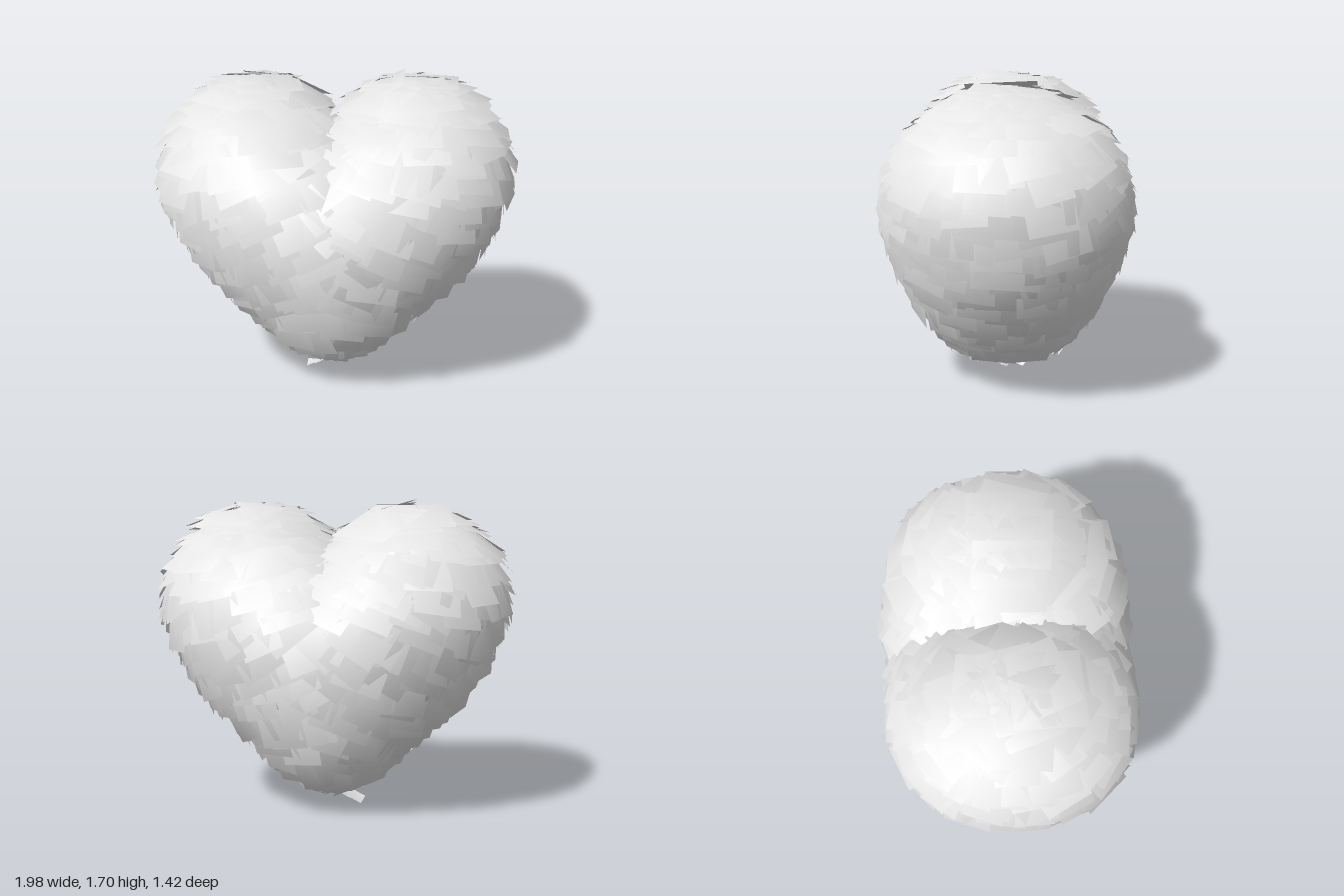
import * as THREE from 'three';
import { ParametricGeometry } from 'three/addons/geometries/ParametricGeometry.js';

// Horizontal sections of one lobe, top to bottom: outer x, inner x, y, half depth
const SECTIONS = [
  [0.41, 0.41, 1.645, 0], [0.58, 0.26, 1.615, 0.18], [0.74, 0.12, 1.53, 0.35],
  [0.86, -0.05, 1.38, 0.5], [0.915, -0.26, 1.2, 0.59], [0.885, -0.46, 1.0, 0.625],
  [0.8, -0.62, 0.8, 0.605], [0.655, -0.62, 0.6, 0.545], [0.45, -0.45, 0.4, 0.45],
  [0.25, -0.25, 0.23, 0.31], [0.11, -0.11, 0.145, 0.17], [0, 0, 0.11, 0],
];
const outerCurve = new THREE.CatmullRomCurve3(SECTIONS.map(s => new THREE.Vector3(s[0], s[2], s[3])));
const innerCurve = new THREE.CatmullRomCurve3(SECTIONS.map(s => new THREE.Vector3(s[1], s[2], s[3])));

// Slightly squared circle
const POWER = 0.92;
const squared = v => Math.sign(v) * Math.abs(v) ** POWER;

function sectionAt(t) {
  const o = outerCurve.getPoint(t), i = innerCurve.getPoint(t);
  const mid = (o.x + i.x) / 2, half = (o.x - i.x) / 2;
  // Angle at which the section meets the other lobe at x = 0
  const limit = i.x >= 0 ? Math.PI : Math.acos(-(Math.min(1, Math.max(0, mid / half)) ** (1 / POWER)));
  return { mid, half, y: o.y, depth: o.z, limit };
}

// Point on the lobe: a = angle around from the outer side, t = top to bottom (0..1)
function lobePoint(a, t, target = new THREE.Vector3()) {
  const s = sectionAt(t);
  return target.set(s.mid + s.half * squared(Math.cos(a)), s.y, s.depth * squared(Math.sin(a)));
}

function seeded(seed) {
  return () => {
    seed = (seed * 1664525 + 1013904223) % 4294967296;
    return seed / 4294967296;
  };
}

// Collects flat cards with softly rounded normals
class CardSet {
  positions = [];
  normals = [];

  add(center, normal, down, width, height, tilt, spin) {
    const d = down.clone().applyAxisAngle(normal, spin);
    const side = new THREE.Vector3().crossVectors(d, normal).normalize();
    const slope = d.addScaledVector(normal, tilt).normalize();
    const face = new THREE.Vector3().crossVectors(side, slope);
    const corners = [[-1, -1], [1, -1], [1, 1], [-1, 1]].map(([u, v]) => {
      const offset = side.clone().multiplyScalar(u * width / 2).addScaledVector(slope, v * height / 2);
      return {
        p: center.clone().add(offset),
        n: face.clone().addScaledVector(offset, 1.3).normalize(),
      };
    });
    for (const k of [0, 1, 2, 0, 2, 3]) {
      this.positions.push(...corners[k].p.toArray());
      this.normals.push(...corners[k].n.toArray());
    }
  }

  toGeometry() {
    const g = new THREE.BufferGeometry();
    g.setAttribute('position', new THREE.Float32BufferAttribute(this.positions, 3));
    g.setAttribute('normal', new THREE.Float32BufferAttribute(this.normals, 3));
    return g;
  }
}

// Overlapping rows of cards, each lifting away from the body at its lower edge
function lobeCards(seed) {
  const rand = seeded(seed), cards = new CardSet();
  const rows = 22, e = 0.004;
  for (let r = 0; r < rows; r++) {
    const t0 = 0.05 + 0.9 * r / (rows - 1);
    const { half, depth, limit } = sectionAt(t0);
    const crown = t0 < 0.15;
    const count = Math.max(4, Math.round((half + depth) * limit / (crown ? 0.2 : 0.135)));
    for (let c = 0; c < count; c++) {
      const a = ((c + 0.25 + (r % 2) / 2 + (rand() - 0.5) * 0.7) / count * 2 - 1) * limit;
      const t = THREE.MathUtils.clamp(t0 + (rand() - 0.5) * 0.045, 0.03, 0.97);
      const p = lobePoint(a, t);
      const around = lobePoint(a + e, t).sub(lobePoint(a - e, t));
      const down = lobePoint(a, t + e).sub(lobePoint(a, t - e)).normalize();
      const normal = new THREE.Vector3().crossVectors(around, down).normalize();
      const size = (0.19 + rand() * 0.08) * (t > 0.85 ? 0.8 : 1) * (crown ? 1.45 : 1);
      const tilt = crown ? 0.08 : 0.2 + rand() * 0.18;
      cards.add(p.addScaledVector(normal, 0.02), normal, down,
        size, size * 0.95, tilt, (rand() - 0.5) * 0.45);
    }
  }
  return cards.toGeometry();
}

export function createModel() {
  const group = new THREE.Group();
  const grey = new THREE.MeshStandardMaterial({ color: 0xe6e6e6, side: THREE.DoubleSide });
  grey.name = 'pale grey';

  const addMesh = (parent, geometry, name) => {
    const mesh = new THREE.Mesh(geometry, grey);
    mesh.name = name;
    parent.add(mesh);
  };

  // Two mirrored lobes, each a smooth core under its own cards
  const core = new ParametricGeometry(
    (u, v, target) => lobePoint((u * 2 - 1) * sectionAt(v).limit, v, target), 48, 40);
  for (const [name, sign, seed] of [['left', 1, 11], ['right', -1, 47]]) {
    const lobe = new THREE.Group();
    lobe.name = name + 'Lobe';
    lobe.scale.x = sign;
    addMesh(lobe, core, name + 'Core');
    addMesh(lobe, lobeCards(seed), name + 'Cards');
    group.add(lobe);
  }

  // Cards hanging from the bottom tip
  const tip = new CardSet();
  const tipNormal = new THREE.Vector3(0.45, -0.893, 0), tipDown = new THREE.Vector3(-0.893, -0.45, 0);
  tip.add(new THREE.Vector3(-0.06, 0.05, 0.02), tipNormal, tipDown, 0.15, 0.22, 0, 0);
  tip.add(new THREE.Vector3(-0.02, 0.09, 0.02), tipNormal, tipDown, 0.27, 0.2, 0, 0);
  addMesh(group, tip.toGeometry(), 'tipCards');
  return group;
}
